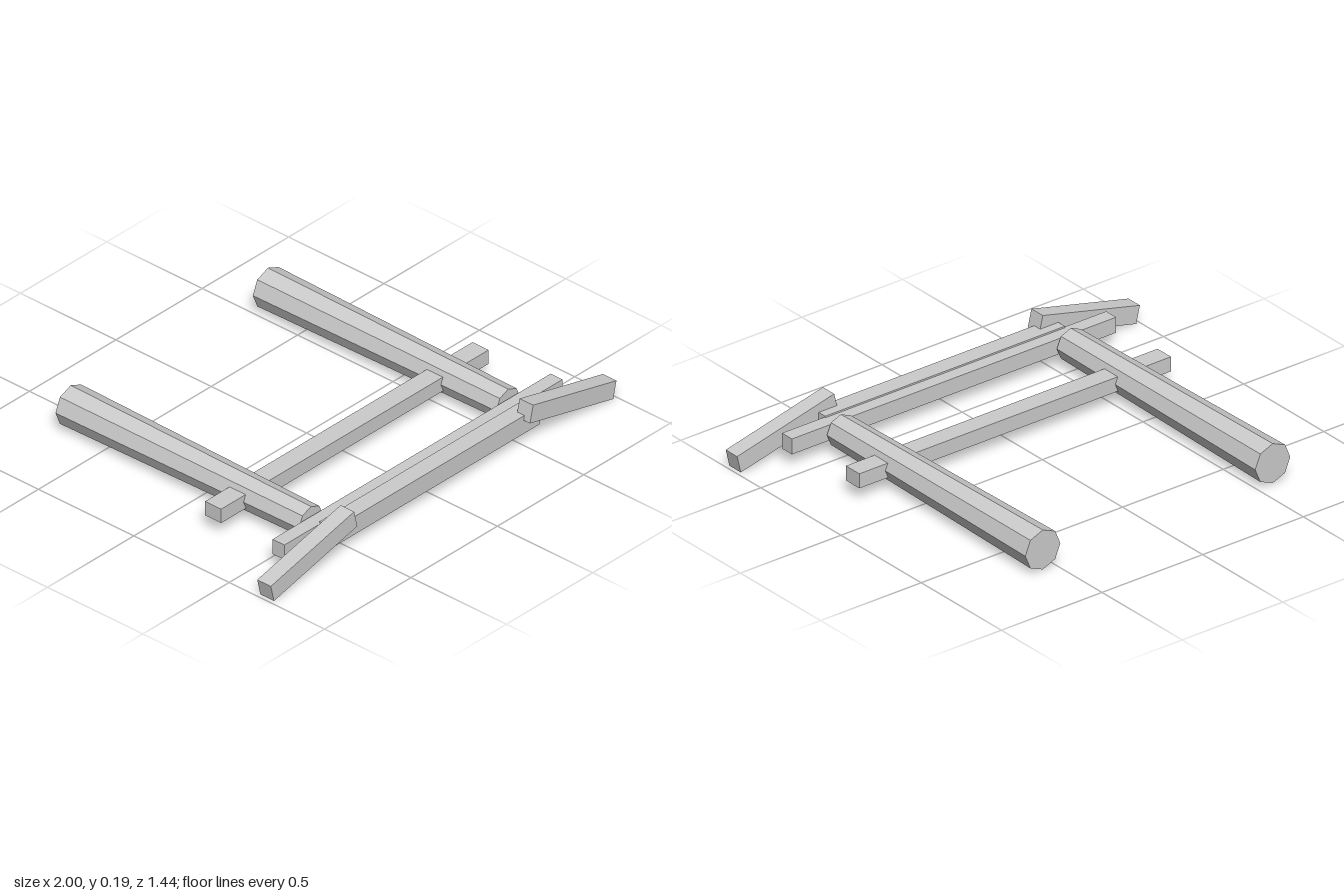
import * as THREE from 'three';

export function createModel() {
  const model = new THREE.Group();
  model.name = 'timberFrame';
  const grey = new THREE.MeshStandardMaterial({ color: 0xcccccc });
  grey.name = 'light grey';

  function add(name, geometry, x, y, z) {
    const mesh = new THREE.Mesh(geometry, grey);
    mesh.name = name;
    mesh.position.set(x, y, z);
    model.add(mesh);
    return mesh;
  }

  // Cross members
  add('rearCrossbar', new THREE.BoxGeometry(1.548, 0.064, 0.084), 0, 0.097, 0.211);
  add('frontCrossbar', new THREE.BoxGeometry(1.61, 0.068, 0.062), 0, 0.099, 0.582);
  add('frontBeam', new THREE.BoxGeometry(1.19, 0.082, 0.078), 0, 0.099, 0.646);

  for (const [side, s] of [['left', 1], ['right', -1]]) {
    // Tapered octagonal log, thicker at the back
    const log = new THREE.CylinderGeometry(0.069, 0.087, 1.26, 8).toNonIndexed();
    log.rotateX(Math.PI / 2);
    log.computeVertexNormals();
    add(side + 'Log', log, s * 0.571, 0.099, -0.09);

    // Front arm sloping down and outwards
    const arm = add(side + 'Arm', new THREE.BoxGeometry(0.496, 0.078, 0.071), s * 0.75, 0.1, 0.683);
    arm.rotation.z = -s * THREE.MathUtils.degToRad(13.5);
  }
  return model;
}
